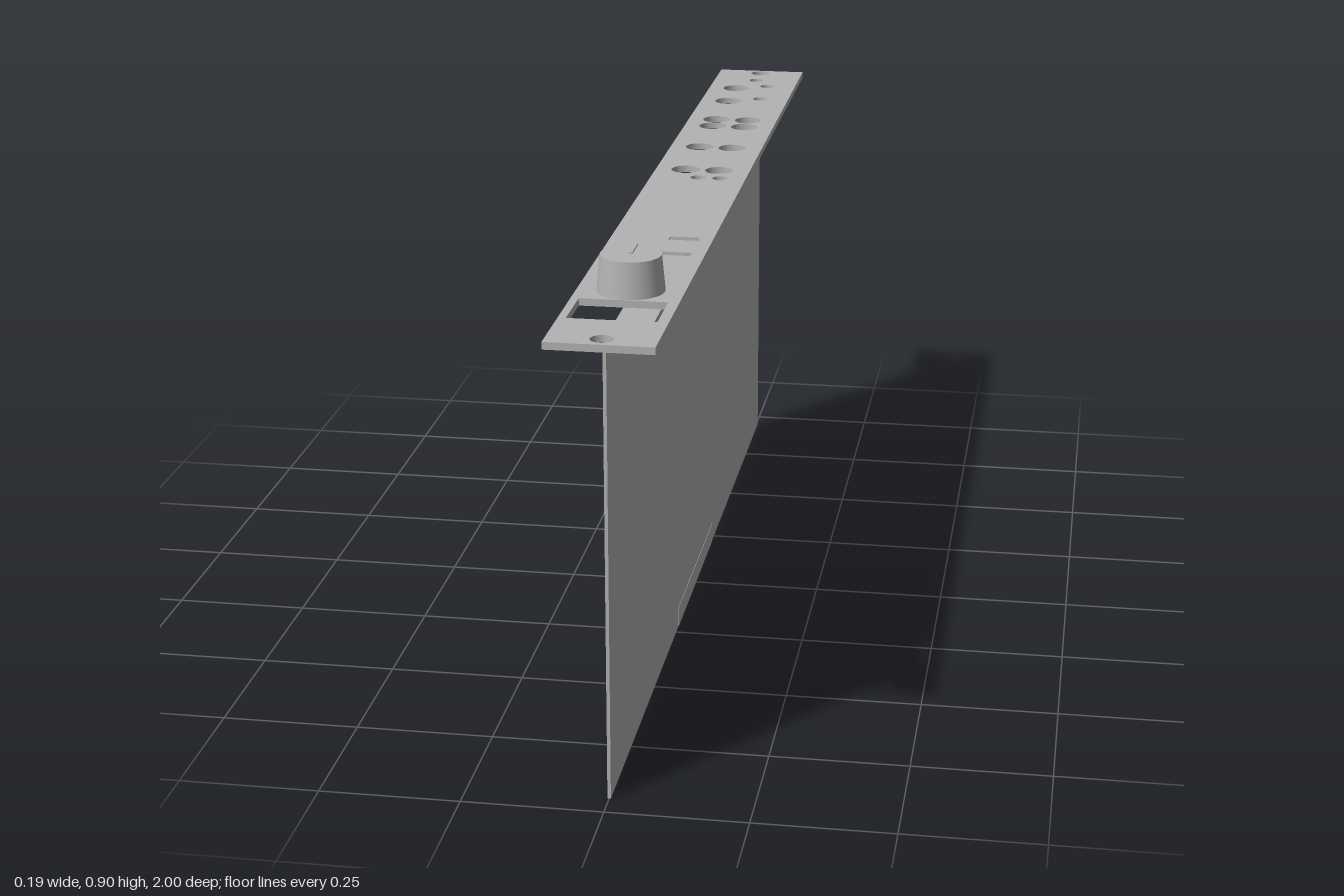
import * as THREE from 'three';

export function createModel() {
  const model = new THREE.Group();
  const grey = new THREE.MeshStandardMaterial({ color: 0xb3b3b3 });
  grey.name = 'plain grey';

  const add = (name, geometry, x, y, z) => {
    const mesh = new THREE.Mesh(geometry, grey);
    mesh.name = name;
    mesh.position.set(x, y, z);
    model.add(mesh);
  };
  // Box given by its lower and upper limits on each axis
  const addBox = (name, [x0, x1], [y0, y1], [z0, z1]) =>
    add(name, new THREE.BoxGeometry(x1 - x0, y1 - y0, z1 - z0),
      (x0 + x1) / 2, (y0 + y1) / 2, (z0 + z1) / 2);

  // Faceplate outline, drawn with shape y as model z
  const rectangle = (path, x0, x1, z0, z1) =>
    path.moveTo(x0, z0).lineTo(x1, z0).lineTo(x1, z1).lineTo(x0, z1).closePath();
  const plate = rectangle(new THREE.Shape(), -0.093, 0.093, -1, 1);

  const roundHole = (x, z, r) => {
    const hole = new THREE.Path();
    hole.absarc(x, z, r, 0, Math.PI * 2, true);
    plate.holes.push(hole);
  };
  const squareHole = (...limits) => plate.holes.push(rectangle(new THREE.Path(), ...limits));

  // Mounting screw holes
  for (const z of [-0.975, 0.97]) roundHole(0, z, 0.02);
  // Large sockets in the left and right columns
  for (const z of [-0.82, -0.697, -0.527, -0.469, -0.29, -0.108, 0.592]) roundHole(-0.034, z, 0.028);
  for (const z of [-0.527, -0.469, -0.29, -0.108]) roundHole(0.032, z, 0.027);
  // Small indicator holes
  for (const [x, z] of [[0, -0.903], [0.032, -0.847], [0.032, -0.725], [0, -0.05], [0.043, -0.05]])
    roundHole(x, z, 0.015);
  // Switch slots and display window
  for (const z of [0.378, 0.475]) squareHole(0.013, 0.068, z - 0.01, z + 0.01);
  squareHole(-0.079, 0.074, 0.76, 0.87);

  const plateGeometry = new THREE.ExtrudeGeometry(plate, {
    depth: 0.013, bevelEnabled: false, curveSegments: 24,
  });
  plateGeometry.rotateX(Math.PI / 2);
  add('faceplate', plateGeometry, 0, 0.836, 0);

  // Strip under the faceplate, circuit board and its edge connector
  addBox('mountingStrip', [0, 0.062], [0.814, 0.823], [-0.95, 0.95]);
  addBox('circuitBoard', [-0.003, 0.003], [0, 0.823], [-0.95, 0.95]);
  addBox('edgeConnector', [-0.0038, 0.0038], [0, 0.04], [-0.22, 0.22]);

  // Tapered knob with a raised pointer
  add('knob', new THREE.CylinderGeometry(0.053, 0.059, 0.064, 48), 0, 0.868, 0.7);
  addBox('knobPointer', [-0.003, 0.003], [0.89, 0.903], [0.647, 0.7]);

  return model;
}
